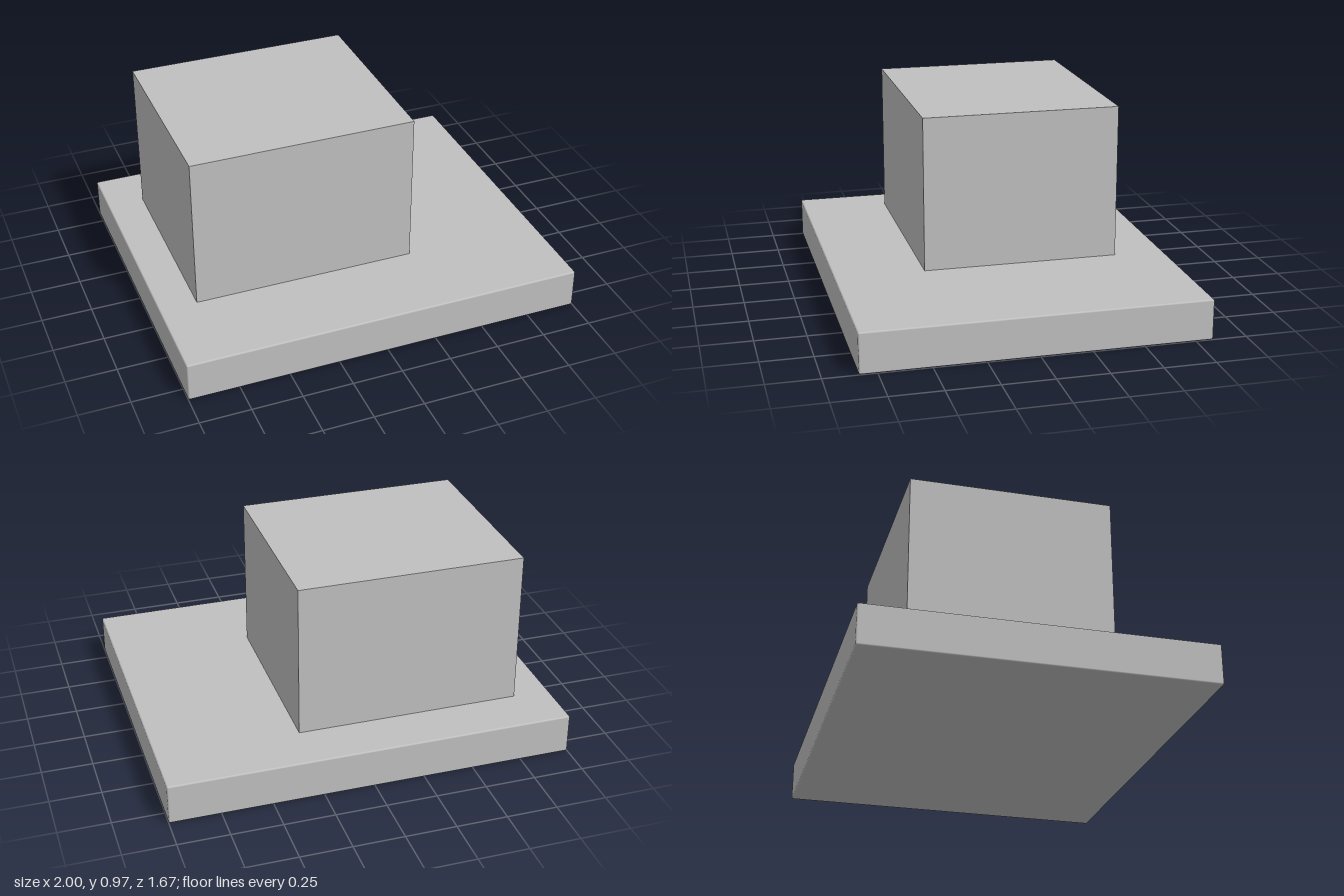
import * as THREE from 'three';
import { RoundedBoxGeometry } from 'three/addons/geometries/RoundedBoxGeometry.js';

export function createModel() {
  const model = new THREE.Group();
  model.name = 'blockOnSlab';
  const grey = new THREE.MeshStandardMaterial({ color: 0xc0c0c0 });
  grey.name = 'plain grey';

  // Wide slab with finely eased edges
  const slab = new THREE.Mesh(new RoundedBoxGeometry(2, 0.2, 1.67, 2, 0.008), grey);
  slab.name = 'baseSlab';
  slab.position.y = 0.1;

  // Sharp-edged block, set off-centre towards the back and one side
  const top = 0.967, bottom = 0.2;
  const block = new THREE.Mesh(new THREE.BoxGeometry(1.115, top - bottom, 0.975), grey);
  block.name = 'upperBlock';
  block.position.set(-0.257, (top + bottom) / 2, -0.094);

  model.add(slab, block);
  return model;
}
